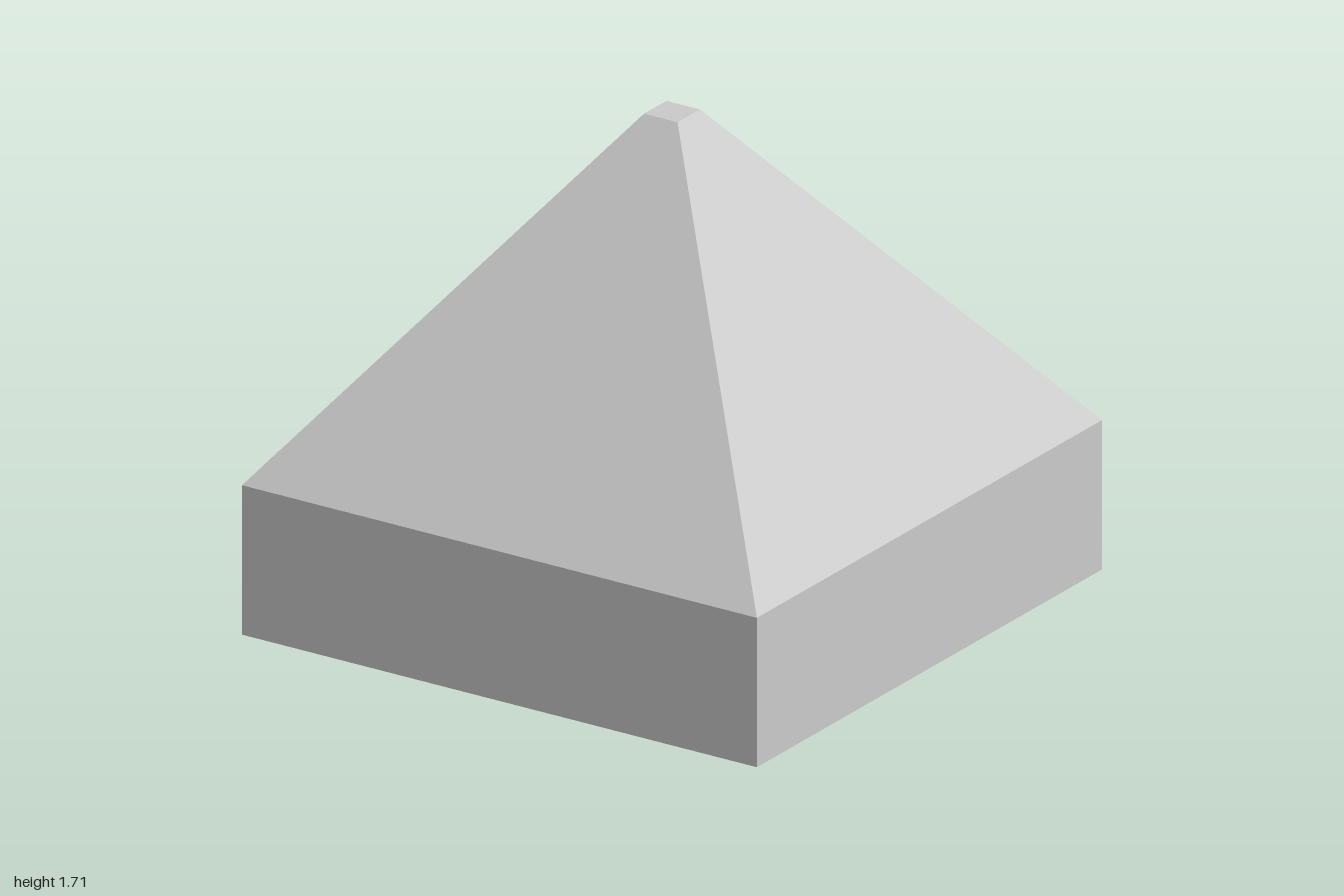
import * as THREE from 'three';

const HALF = 1;        // half width of the base
const TIP = 0.065;     // half width of the flat tip
const EAVE = 0.522;    // top of the base block
const TOP = 1.714;     // full height

const material = new THREE.MeshStandardMaterial({ color: 0xcccccc, flatShading: true });

// Square solid from a [half width, height] profile, listed bottom to top
function squareSolid(name, profile) {
  const points = profile.map(([half, y]) => new THREE.Vector2(half * Math.SQRT2, y));
  const mesh = new THREE.Mesh(new THREE.LatheGeometry(points, 4, Math.PI / 4), material);
  mesh.name = name;
  return mesh;
}

export function createModel() {
  const group = new THREE.Group();
  group.name = 'truncatedPyramidOnBase';

  // Straight-sided block, closed underneath
  group.add(squareSolid('baseBlock', [[0, 0], [HALF, 0], [HALF, EAVE]]));

  // Four sloping faces ending in a small flat tip
  group.add(squareSolid('pyramidTop', [[HALF, EAVE], [TIP, TOP], [0, TOP]]));

  return group;
}
